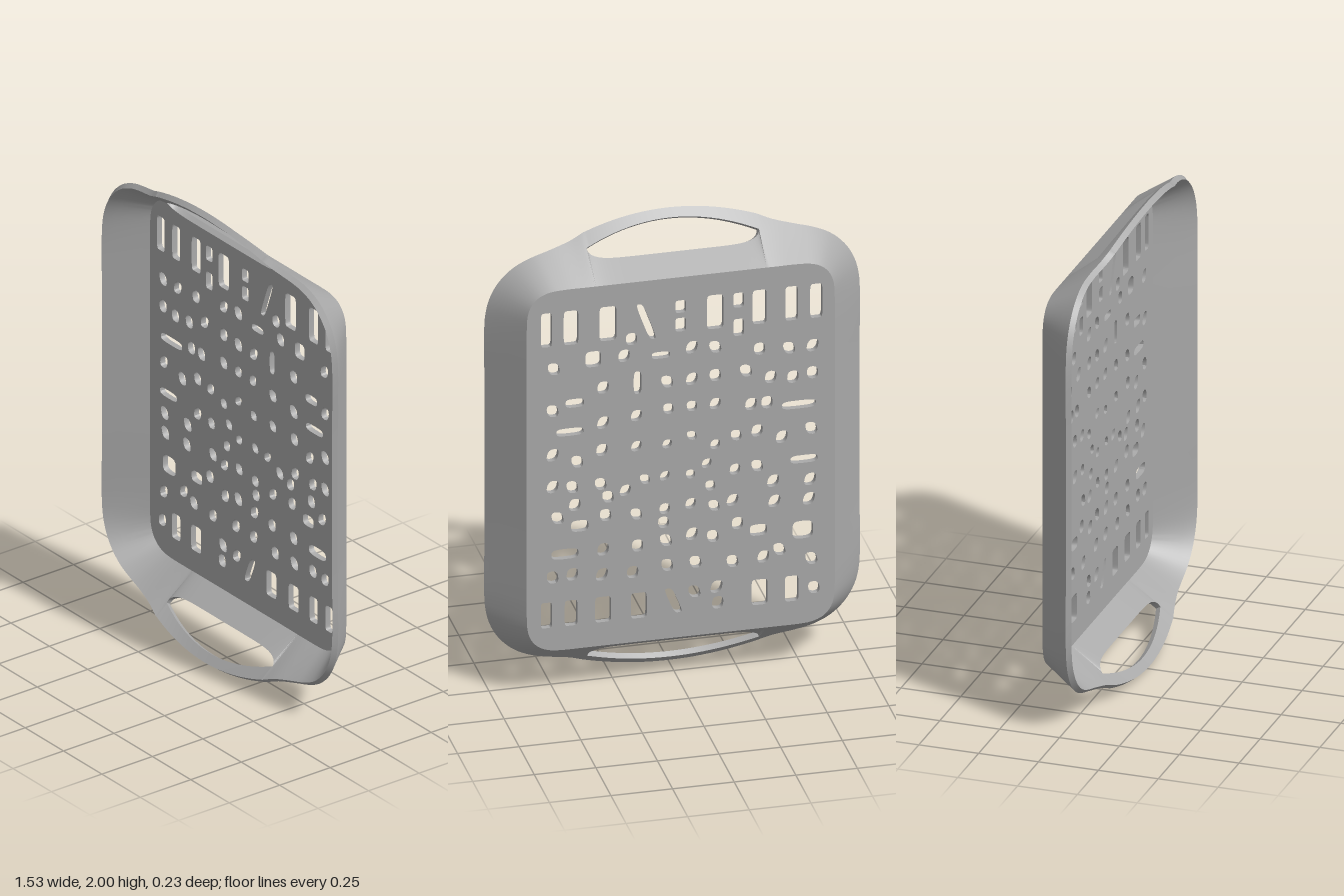
import * as THREE from 'three';
import { toCreasedNormals } from 'three/addons/utils/BufferGeometryUtils.js';

const V = (x, y, z) => new THREE.Vector3(x, y, z);
const HALF_SLOT = 0.35; // half width of a handle opening

// One quarter of the tray as columns running floor edge -> opening -> rim.
function quarterColumns() {
  const cols = [];
  const n = 16;
  for (let k = 0; k < n; k++) {
    const x = HALF_SLOT * Math.sin((k / n) * Math.PI / 2);
    const s = Math.sqrt(1 - Math.pow(x / HALF_SLOT, 8));
    cols.push({
      floor: V(x, 0.795, -0.105),
      low: V(x, 0.9 - 0.043 * s, 0.027 - 0.027 * s),
      high: V(x, 0.97 - 0.57 * x * x, 0.075 - 0.39 * x * x),
      rim: V(x, 1 - 0.46 * x * x, 0.105 - 0.2 * x * x),
    });
  }
  const rim = new THREE.CatmullRomCurve3([
    V(0.35, 0.944, 0.081), V(0.41, 0.92, 0.066), V(0.5, 0.897, 0.048), V(0.57, 0.878, 0.041),
    V(0.64, 0.845, 0.04), V(0.7, 0.79, 0.04), V(0.74, 0.72, 0.04), V(0.76, 0.63, 0.04),
    V(0.76, 0.3, 0.04), V(0.76, 0, 0.04)]);
  const floor = new THREE.CatmullRomCurve3([
    V(0.35, 0.795, -0.105), V(0.4, 0.795, -0.105), V(0.47, 0.795, -0.105), V(0.53, 0.79, -0.105),
    V(0.575, 0.772, -0.105), V(0.605, 0.74, -0.105), V(0.62, 0.7, -0.105), V(0.625, 0.63, -0.105),
    V(0.625, 0.3, -0.105), V(0.625, 0, -0.105)]);
  for (let k = 0; k <= 36; k++) {
    const f = floor.getPoint(k / 36), r = rim.getPoint(k / 36);
    const mid = f.clone().lerp(r, 0.71);
    cols.push({ floor: f, low: mid, high: mid, rim: r });
  }
  return cols;
}

// Mirror the quarter into a full loop, clockwise from the front.
function fullLoop() {
  const q = quarterColumns();
  const flip = (sx, sy) => q.map((c) => {
    const out = {};
    for (const key in c) out[key] = V(c[key].x * sx, c[key].y * sy, c[key].z);
    return out;
  });
  return [...q, ...flip(1, -1).reverse().slice(1), ...flip(-1, -1).slice(1),
    ...flip(-1, 1).reverse().slice(1, -1)];
}

const outer = (p) => V(p.x, p.y + 1, p.z - 0.01);
const inner = (p) => V(p.x * 0.985, p.y * 0.985 + 1, p.z + 0.01);

// Closed four-sided band between two rows of the loop.
function band(loop, a, b, out) {
  const sections = loop.map((c) => [outer(c[a]), outer(c[b]), inner(c[b]), inner(c[a])]);
  sections.forEach((p, i) => {
    const q = sections[(i + 1) % sections.length];
    for (let j = 0; j < 4; j++) {
      const k = (j + 1) % 4;
      for (const v of [p[j], p[k], q[k], p[j], q[k], q[j]]) out.push(v.x, v.y, v.z);
    }
  });
}

// Rounded hole: power 2 is an oval, higher is squarer; lean shears it sideways.
function hole(x, y, w, h, lean = 0, power = 2.6, n = 14) {
  const pts = [];
  for (let i = 0; i < n; i++) {
    const t = ((i + 0.5) / n) * Math.PI * 2, c = Math.cos(t), s = Math.sin(t);
    const px = Math.sign(c) * Math.pow(Math.abs(c), 2 / power) * w / 2;
    const py = Math.sign(s) * Math.pow(Math.abs(s), 2 / power) * h / 2;
    pts.push(new THREE.Vector2(x + px + lean * py, y + py));
  }
  return new THREE.Path(pts);
}

function floorHoles() {
  const holes = [];
  // Tall slots along the top and bottom: x, width
  for (const [x, w] of [[-0.55, 0.05], [-0.45, 0.052], [-0.32, 0.058], [-0.14, 0.068],
    [0.295, 0.07], [0.445, 0.06], [0.545, 0.045]]) holes.push(hole(x, 1.625, w, 0.15, 0, 7, 24));
  for (const [x, w] of [[-0.45, 0.055], [-0.32, 0.065], [0.17, 0.065], [0.315, 0.065],
    [0.445, 0.052], [0.545, 0.045]]) holes.push(hole(x, 0.365, w, 0.112, 0, 7, 24));
  // Leaning slots
  holes.push(hole(0.14, 1.615, 0.03, 0.16, 0.36, 4, 20), hole(0.03, 0.37, 0.035, 0.11, 0.4, 4, 20));
  // Small square holes between the slots
  for (const [x, y, h] of [[-0.235, 1.665, 0.065], [-0.235, 1.545, 0.075], [0, 1.665, 0.055], [0, 1.585, 0.06]])
    holes.push(hole(x, y, 0.043, h, 0, 5, 20));
  // Wide slots near the sides: x, y, width, height
  for (const [x, y, w, h] of [[-0.48, 1.175, 0.14, 0.036], [0.45, 1.165, 0.11, 0.034], [-0.5, 0.932, 0.11, 0.035],
    [0.47, 0.628, 0.11, 0.045], [0.08, 1.46, 0.075, 0.03], [-0.495, 0.62, 0.085, 0.078], [-0.315, 0.64, 0.07, 0.05],
    [0.355, 1.475, 0.065, 0.07], [0.43, 1.29, 0.075, 0.038], [0.41, 0.745, 0.07, 0.05], [0.175, 1.35, 0.032, 0.1]])
    holes.push(hole(x, y, w, h, 0, 3.5, 18));
  // Pebble holes, smaller toward the middle: row height, then x and offset in hundredths
  const row = (y, list) => {
    for (const [x, dy] of list) {
      const yy = y + dy / 100;
      const r = Math.min(1, Math.hypot(x, yy - 1) / 0.35);
      holes.push(hole(x, yy, 0.034 + 0.012 * r, 0.034 + 0.02 * r, Math.sin(x * 40 + yy * 9) * 0.25));
    }
  };
  row(1.45, [[-0.535, -2], [-0.44, -2], [-0.32, -1], [-0.14, 2], [-0.045, 3], [0.2, 9.5], [0.23, 2.5], [0.515, 0]]);
  row(1.33, [[-0.535, -2], [-0.365, -2], [-0.265, 2], [-0.14, 1.5], [-0.045, 1], [0.055, 1], [0.315, 1.5], [0.52, -6.5]]);
  row(1.2, [[-0.35, 0], [-0.285, 0], [-0.14, 2], [-0.045, 2], [0.05, 2], [0.18, 0.5], [0.315, -1], [-0.455, 10]]);
  row(1.06, [[-0.53, 0.5], [-0.41, -2], [-0.31, 2], [-0.225, 1], [-0.14, -2], [-0.045, 3], [0.055, 0.5],
    [0.18, 1], [0.32, 1], [0.42, -3], [0.52, 1]]);
  row(0.92, [[-0.31, 0.5], [-0.22, 0], [-0.105, 4], [-0.04, 0], [0.065, 0.5], [0.145, 0], [0.325, 0], [0.44, 0], [0.52, 1]]);
  row(0.85, [[-0.525, -1], [-0.375, 0], [-0.12, 1], [0.225, 3], [0.295, 1], [0.43, -1]]);
  row(0.77, [[-0.52, -1.5], [-0.38, -1], [-0.21, 1.5], [-0.135, 0], [-0.04, 2], [0.065, 1], [0.18, 0], [0.305, 1], [0.5, 2]]);
  row(0.64, [[-0.23, 4], [-0.13, -0.5], [-0.045, 1.5], [0.06, 0], [0.07, 8], [0.175, -1], [0.315, -1]]);
  row(0.52, [[-0.53, -3], [-0.4, 2.5], [-0.335, 0], [-0.21, -0.5], [-0.06, 1], [0.055, 1], [0.195, -0.5],
    [0.32, 0], [0.44, 1.5], [0.52, 1]]);
  row(0.37, [[-0.54, -1], [-0.15, -3], [-0.145, 4], [-0.055, 3]]);
  return holes;
}

export function createModel() {
  const grey = new THREE.MeshStandardMaterial({ color: 0xaaaaaa });
  grey.name = 'grey plastic';
  const group = new THREE.Group();
  group.name = 'tray';
  const loop = fullLoop();

  // Sloping wall with the two flared handles
  const pos = [];
  band(loop, 'floor', 'low', pos);
  band(loop, 'high', 'rim', pos);
  const wallGeo = new THREE.BufferGeometry();
  wallGeo.setAttribute('position', new THREE.Float32BufferAttribute(pos, 3));
  const wall = new THREE.Mesh(toCreasedNormals(wallGeo, 0.6), grey);
  wall.name = 'wallAndHandles';

  // Perforated floor
  const shape = new THREE.Shape(loop.map((c) => new THREE.Vector2(c.floor.x, c.floor.y + 1)));
  shape.holes = floorHoles();
  const floorGeo = new THREE.ExtrudeGeometry(shape, { depth: 0.025, bevelEnabled: false });
  floorGeo.translate(0, 0, -0.115);
  const floor = new THREE.Mesh(toCreasedNormals(floorGeo, 0.6), grey);
  floor.name = 'perforatedFloor';

  group.add(wall, floor);
  return group;
}
